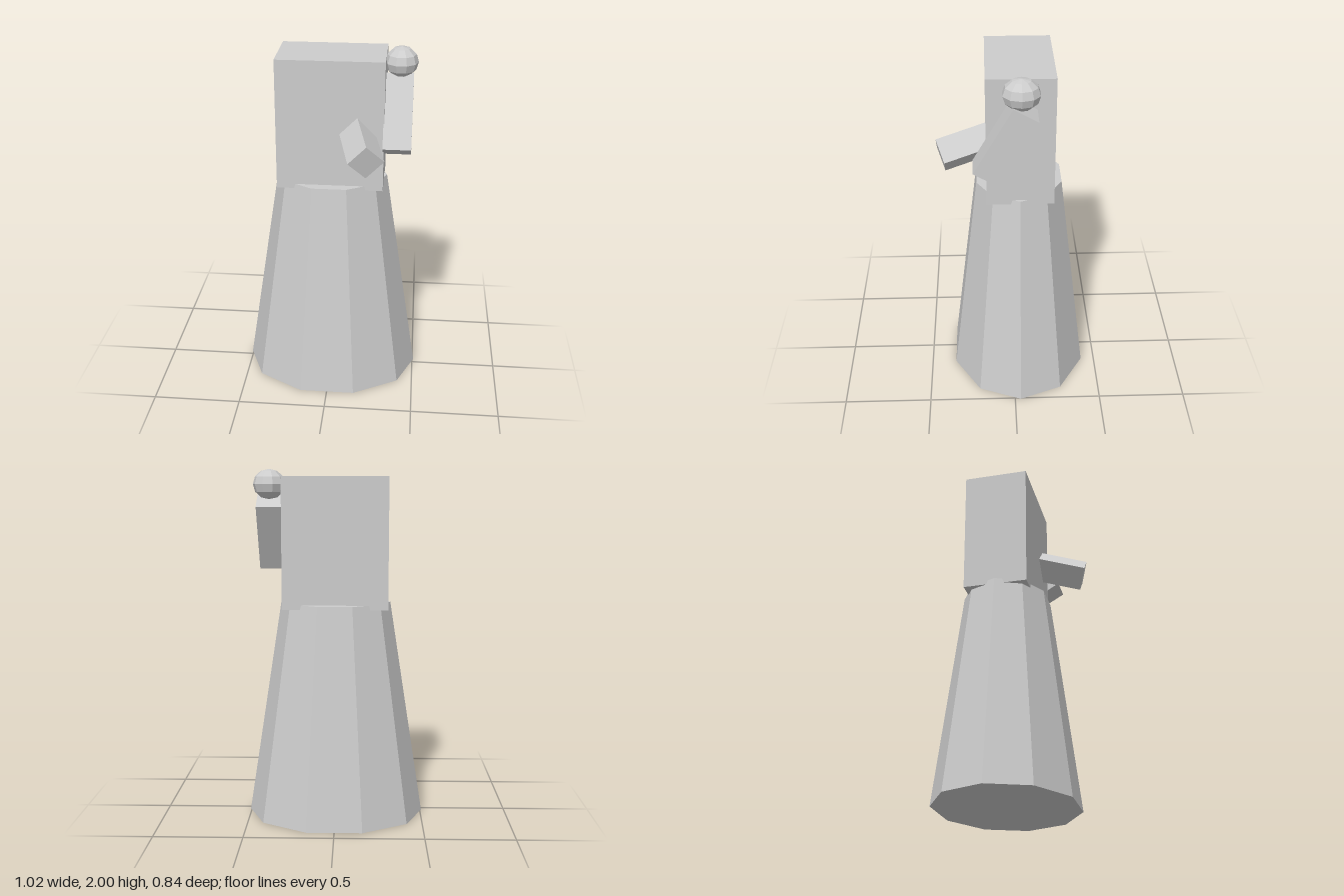
import * as THREE from 'three';

export function createModel() {
  const model = new THREE.Group();
  const grey = new THREE.MeshStandardMaterial({ color: 0xcccccc, flatShading: true });
  grey.name = 'plain grey';

  const add = (name, geometry, x, y, z) => {
    const mesh = new THREE.Mesh(geometry, grey);
    mesh.name = name;
    mesh.position.set(x, y, z);
    model.add(mesh);
    return mesh;
  };

  // Skirt: ten-sided oval frustum with a corner on each side
  const skirt = new THREE.CylinderGeometry(0.313, 0.508, 1.25, 10, 1, false, Math.PI / 2);
  skirt.scale(1, 1, 0.803);
  add('skirt', skirt, 0, 0.625, -0.033);

  // Torso block, sunk slightly into the skirt
  add('torso', new THREE.BoxGeometry(0.592, 0.735, 0.368), 0, 1.5925, -0.034);

  // Raised arm beside the torso, leaning back at the top
  const raisedArm = add('raisedArm', new THREE.BoxGeometry(0.154, 0.42, 0.15), 0.368, 1.645, 0.05);
  raisedArm.rotation.x = -Math.PI / 6;

  // Ball resting on the raised arm
  const ball = new THREE.SphereGeometry(1, 10, 6);
  ball.scale(0.092, 0.085, 0.101);
  add('ball', ball, 0.376, 1.915, -0.033);

  // Forward arm: square bar on edge, pointing forward, down and to the left
  const length = 0.42;
  const along = new THREE.Vector3(0.228, -0.23, 0.946).normalize();
  const across = new THREE.Vector3(0.71, 0.704, 0).normalize();
  const up = new THREE.Vector3().crossVectors(along, across).normalize();
  const forwardArm = add('forwardArm', new THREE.BoxGeometry(0.137, 0.141, length), 0.213, 1.49, 0.392);
  forwardArm.position.addScaledVector(along, -length / 2);
  forwardArm.quaternion.setFromRotationMatrix(new THREE.Matrix4().makeBasis(across, up, along));

  return model;
}
